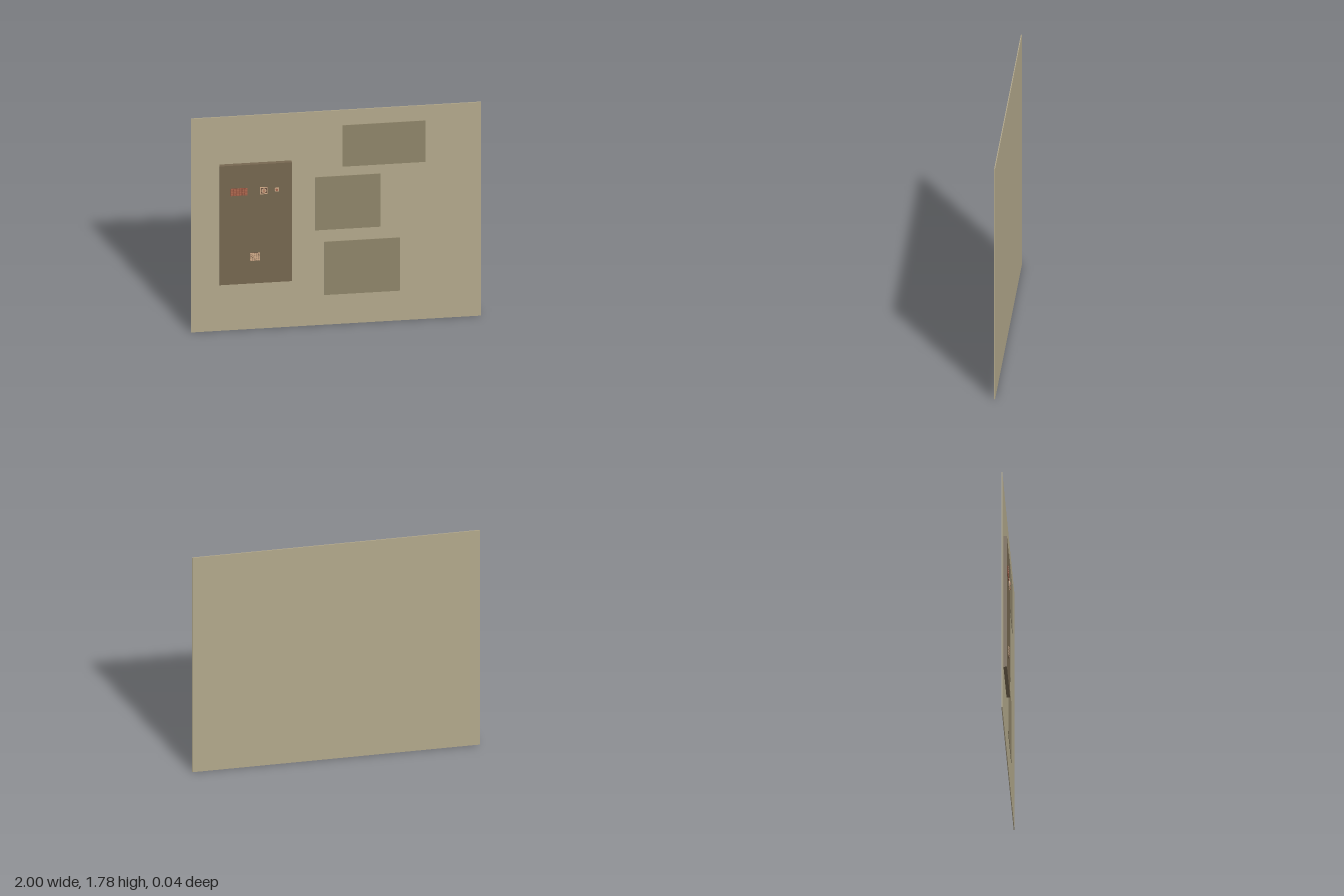
import * as THREE from 'three';

const paint = (color) => new THREE.MeshStandardMaterial({ color });
const WALL = paint(0xb3a98c), PATCH = paint(0x8f856a), PANEL = paint(0x766750);
const RED = paint(0xa5624a), DARK_RED = paint(0x8a4a38), TAN = paint(0xc9a584), DARK = paint(0x6b5140);

// Box given by its limits on each axis
function slab(parent, name, material, [x0, x1], [y0, y1], [z0, z1]) {
  const mesh = new THREE.Mesh(new THREE.BoxGeometry(x1 - x0, y1 - y0, z1 - z0), material);
  mesh.position.set((x0 + x1) / 2, (y0 + y1) / 2, (z0 + z1) / 2);
  mesh.name = name;
  parent.add(mesh);
  return mesh;
}

// Regular field of small boxes filling a rectangle
function keyGrid(parent, name, material, [x0, x1], [y0, y1], z, cols, rows, fill) {
  const group = new THREE.Group();
  group.name = name;
  const dx = (x1 - x0) / cols, dy = (y1 - y0) / rows, mx = dx * (1 - fill) / 2, my = dy * (1 - fill) / 2;
  for (let c = 0; c < cols; c++) {
    for (let r = 0; r < rows; r++) {
      const x = x0 + c * dx, y = y0 + r * dy;
      slab(group, 'key', material, [x + mx, x + dx - mx], [y + my, y + dy - my], z);
    }
  }
  parent.add(group);
}

// Short cylinder facing forward
function disc(parent, name, material, radius, x, y, [z0, z1], sides = 12) {
  const geometry = new THREE.CylinderGeometry(radius, radius, z1 - z0, sides).rotateX(Math.PI / 2);
  const mesh = new THREE.Mesh(geometry, material);
  mesh.position.set(x, y, (z0 + z1) / 2);
  mesh.name = name;
  parent.add(mesh);
}

export function createModel() {
  const model = new THREE.Group();
  model.name = 'wallPanel';

  // Wall and its raised rectangular patches
  slab(model, 'wall', WALL, [-1, 1], [0, 1.78], [-0.02, -0.014]);
  const patches = [
    [[0.045, 0.615], [1.31, 1.654]],
    [[-0.14, 0.305], [0.792, 1.234]],
    [[-0.078, 0.441], [0.249, 0.692]],
  ];
  for (const [x, y] of patches) slab(model, 'wallPatch', PATCH, x, y, [-0.014, -0.011]);

  // Control panel
  slab(model, 'controlPanel', PANEL, [-0.804, -0.307], [0.396, 1.386], [-0.014, 0.01]);

  // Red button bank
  slab(model, 'buttonBankBase', DARK_RED, [-0.73, -0.612], [1.135, 1.195], [0.01, 0.012]);
  keyGrid(model, 'buttonBank', RED, [-0.73, -0.612], [1.135, 1.195], [0.012, 0.016], 6, 4, 0.8);

  // Switch plate: square frame with a round knob and pointer
  const sx = -0.5, sy = 1.166;
  slab(model, 'switchPlate', DARK, [sx - 0.026, sx + 0.026], [sy - 0.029, sy + 0.029], [0.01, 0.012]);
  for (const s of [-1, 1]) {
    const cx = sx + s * 0.023, cy = sy + s * 0.026;
    slab(model, 'switchFrameSide', TAN, [cx - 0.003, cx + 0.003], [sy - 0.029, sy + 0.029], [0.012, 0.015]);
    slab(model, 'switchFrameEdge', TAN, [sx - 0.02, sx + 0.02], [cy - 0.003, cy + 0.003], [0.012, 0.015]);
  }
  disc(model, 'switchKnob', TAN, 0.017, sx, sy, [0.012, 0.018]);
  slab(model, 'switchPointer', RED, [sx - 0.004, sx + 0.004], [sy - 0.012, sy + 0.012], [0.018, 0.02]);

  // Small square button
  slab(model, 'smallButtonBase', TAN, [-0.425, -0.397], [1.154, 1.182], [0.01, 0.014]);
  disc(model, 'smallButton', RED, 0.008, -0.411, 1.168, [0.014, 0.017]);

  // Speaker-like keypad at the bottom
  slab(model, 'keypadBase', DARK, [-0.596, -0.527], [0.586, 0.652], [0.01, 0.012]);
  keyGrid(model, 'keypad', TAN, [-0.596, -0.527], [0.586, 0.652], [0.012, 0.016], 5, 5, 0.76);

  return model;
}
